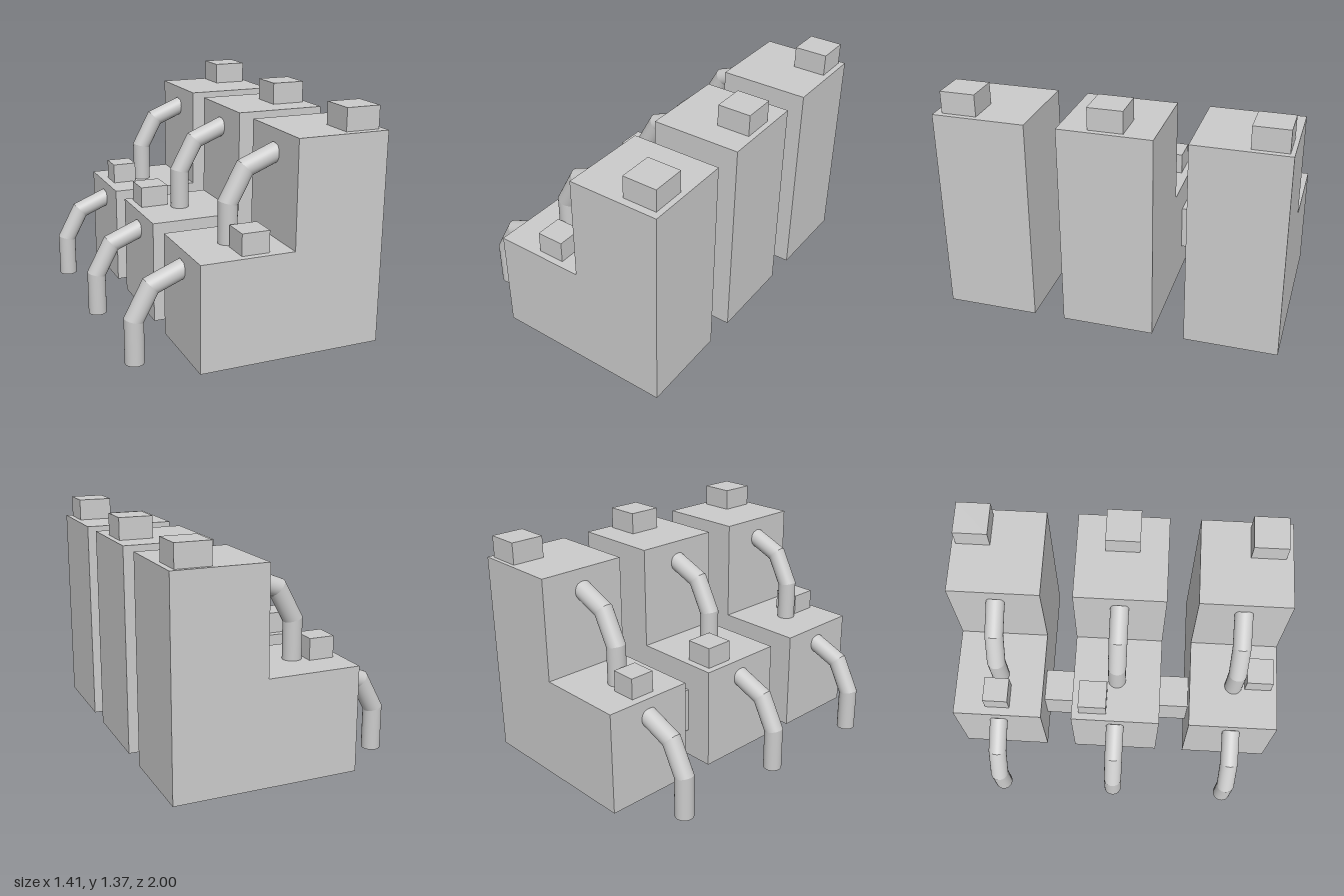
import * as THREE from 'three';

const material = new THREE.MeshStandardMaterial({ color: 0xcccccc });

function add(parent, name, geometry) {
  const mesh = new THREE.Mesh(geometry, material);
  mesh.name = name;
  parent.add(mesh);
  return mesh;
}

// Box given by its extents on each axis
function addBox(parent, name, [x0, x1], [y0, y1], [z0, z1]) {
  const mesh = add(parent, name, new THREE.BoxGeometry(x1 - x0, y1 - y0, z1 - z0));
  mesh.position.set((x0 + x1) / 2, (y0 + y1) / 2, (z0 + z1) / 2);
}

// Pipe through points in the xy plane, with mitred joints between straight runs
function createPipe(name, points, radius) {
  const pipe = new THREE.Group();
  pipe.name = name;
  const runs = points.slice(1).map(([x, y], i) => {
    const dx = x - points[i][0], dy = y - points[i][1];
    return { length: Math.hypot(dx, dy), angle: Math.atan2(dx, dy) };
  });
  const miter = (a, b) => (a && b ? Math.tan((b.angle - a.angle) / 2) : 0);
  runs.forEach((run, i) => {
    const geometry = new THREE.CylinderGeometry(radius, radius, run.length, 32);
    geometry.translate(0, run.length / 2, 0);
    const start = miter(runs[i - 1], run), end = miter(run, runs[i + 1]);
    const p = geometry.attributes.position;
    for (let v = 0; v < p.count; v++) {
      const x = p.getX(v), y = p.getY(v);
      p.setY(v, y > run.length / 2 ? y - x * end : y + x * start);
    }
    const mesh = add(pipe, 'pipeRun', geometry);
    mesh.position.set(points[i][0], points[i][1], 0);
    mesh.rotation.z = -run.angle;
  });
  return pipe;
}

export function createModel() {
  const model = new THREE.Group();
  model.name = 'steppedBlocksWithPipes';

  // Stepped side profile shared by the three blocks
  const profile = new THREE.Shape([
    [-0.38, 0.005], [0.705, 0.005], [0.705, 1.235],
    [0.165, 1.235], [0.165, 0.62], [-0.38, 0.62],
  ].map(([x, y]) => new THREE.Vector2(x, y)));
  const depth = 0.543;
  const blockGeometry = new THREE.ExtrudeGeometry(profile, { depth, bevelEnabled: false });
  blockGeometry.translate(0, 0, -depth / 2);

  const pipePath = [[-0.655, 0], [-0.655, 0.252], [-0.557, 0.435], [-0.365, 0.513]];

  // Each unit: block centre, roof box z, step box x and z
  const units = [
    { z: 0.728, roof: [0.75, 0.955], stepX: [-0.13, 0.032], stepZ: [0.798, 0.96] },
    { z: 0.002, roof: [-0.097, 0.105], stepX: [-0.338, -0.168], stepZ: [-0.225, -0.055] },
    { z: -0.728, roof: [-0.975, -0.773], stepX: [-0.33, -0.18], stepZ: [-0.805, -0.655] },
  ];
  for (const { z, roof, stepX, stepZ } of units) {
    const unit = new THREE.Group();
    unit.name = 'unit';
    model.add(unit);
    add(unit, 'steppedBlock', blockGeometry).position.z = z;
    addBox(unit, 'roofBox', [0.47, 0.672], [1.235, 1.365], roof);
    addBox(unit, 'stepBox', stepX, [0.62, 0.745], stepZ);

    const lower = createPipe('lowerPipe', pipePath, 0.055);
    lower.position.z = z;
    const upper = createPipe('upperPipe', pipePath, 0.055);
    upper.position.set(0.545, 0.597, z);
    unit.add(lower, upper);
  }

  // Passages joining neighbouring blocks
  addBox(model, 'connector', [-0.21, -0.01], [0.178, 0.45], [0.273, 0.457]);
  addBox(model, 'connector', [-0.21, -0.01], [0.178, 0.45], [-0.457, -0.27]);

  return model;
}
